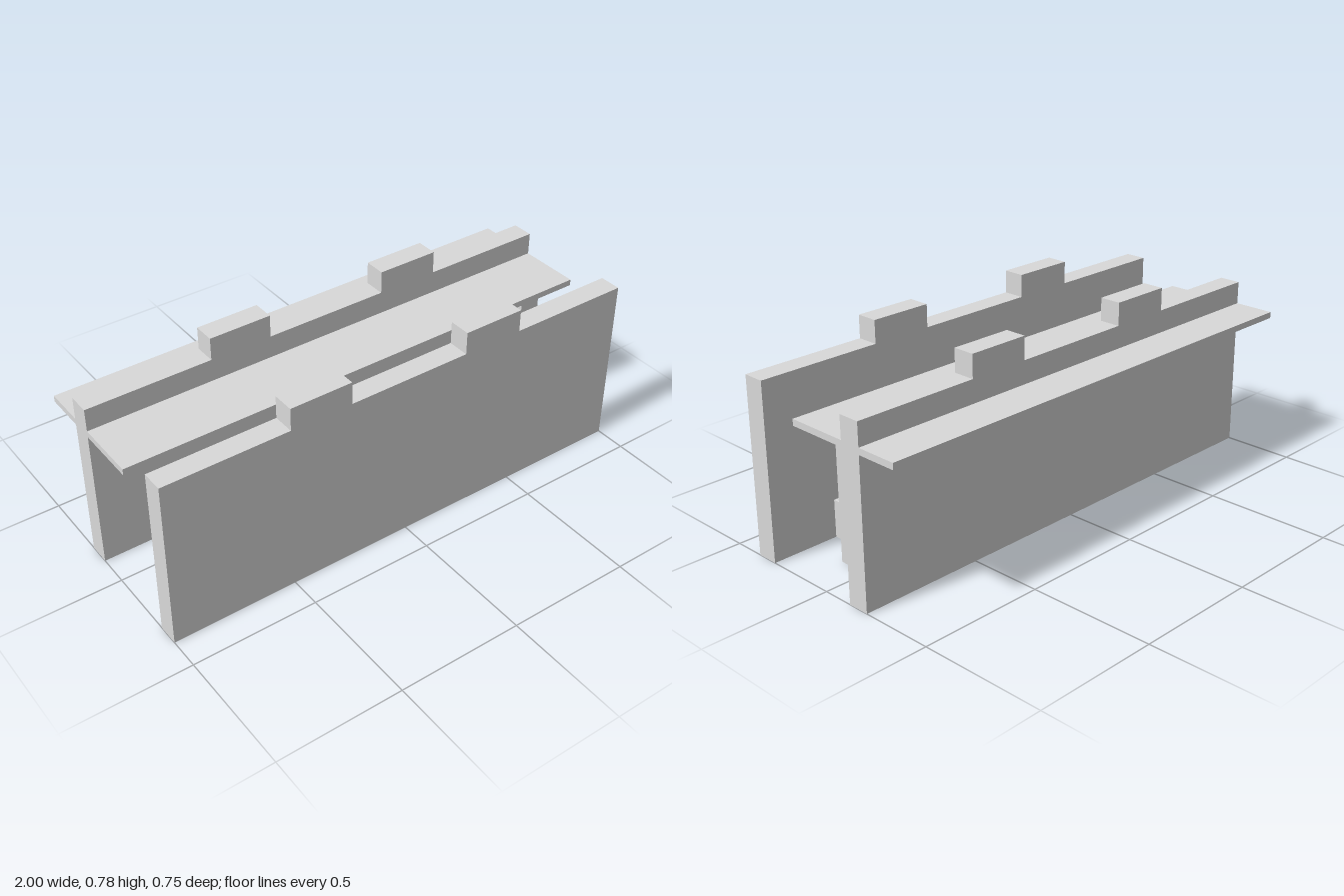
import * as THREE from 'three';

export function createModel() {
  const model = new THREE.Group();
  const lightGrey = new THREE.MeshStandardMaterial({ color: 0xd9d9d9 });
  lightGrey.name = 'lightGrey';

  // Box given by its lower and upper limits on each axis
  const addBox = (name, [x0, x1], [y0, y1], [z0, z1]) => {
    const mesh = new THREE.Mesh(new THREE.BoxGeometry(x1 - x0, y1 - y0, z1 - z0), lightGrey);
    mesh.position.set((x0 + x1) / 2, (y0 + y1) / 2, (z0 + z1) / 2);
    mesh.name = name;
    model.add(mesh);
  };

  // Wall outline with two raised tabs on its top edge
  const wallTop = 0.69, tabTop = 0.78;
  const outline = new THREE.Shape([
    [-1, 0], [1, 0], [1, wallTop],
    [0.5, wallTop], [0.5, tabTop], [0.25, tabTop], [0.25, wallTop],
    [-0.25, wallTop], [-0.25, tabTop], [-0.5, tabTop], [-0.5, wallTop],
    [-1, wallTop],
  ].map(([x, y]) => new THREE.Vector2(x, y)));
  const wallGeometry = new THREE.ExtrudeGeometry(outline, { depth: 0.0865, bevelEnabled: false });
  for (const [name, z] of [['frontWall', 0.2885], ['backWall', -0.2115]]) {
    const wall = new THREE.Mesh(wallGeometry, lightGrey);
    wall.position.z = z;
    wall.name = name;
    model.add(wall);
  }

  // Walkway on both sides of the back wall
  addBox('innerWalkway', [-1, 1], [0.575, 0.6], [-0.125, 0.125]);
  addBox('outerWalkway', [-1, 1], [0.575, 0.6], [-0.375, -0.2115]);

  // Cross wall holding up the inner walkway
  addBox('crossWall', [0.745, 0.83], [0, 0.575], [-0.125, 0.125]);

  // Low step against the front wall
  addBox('step', [0.525, 0.725], [0, 0.15], [0.15, 0.2885]);

  return model;
}
